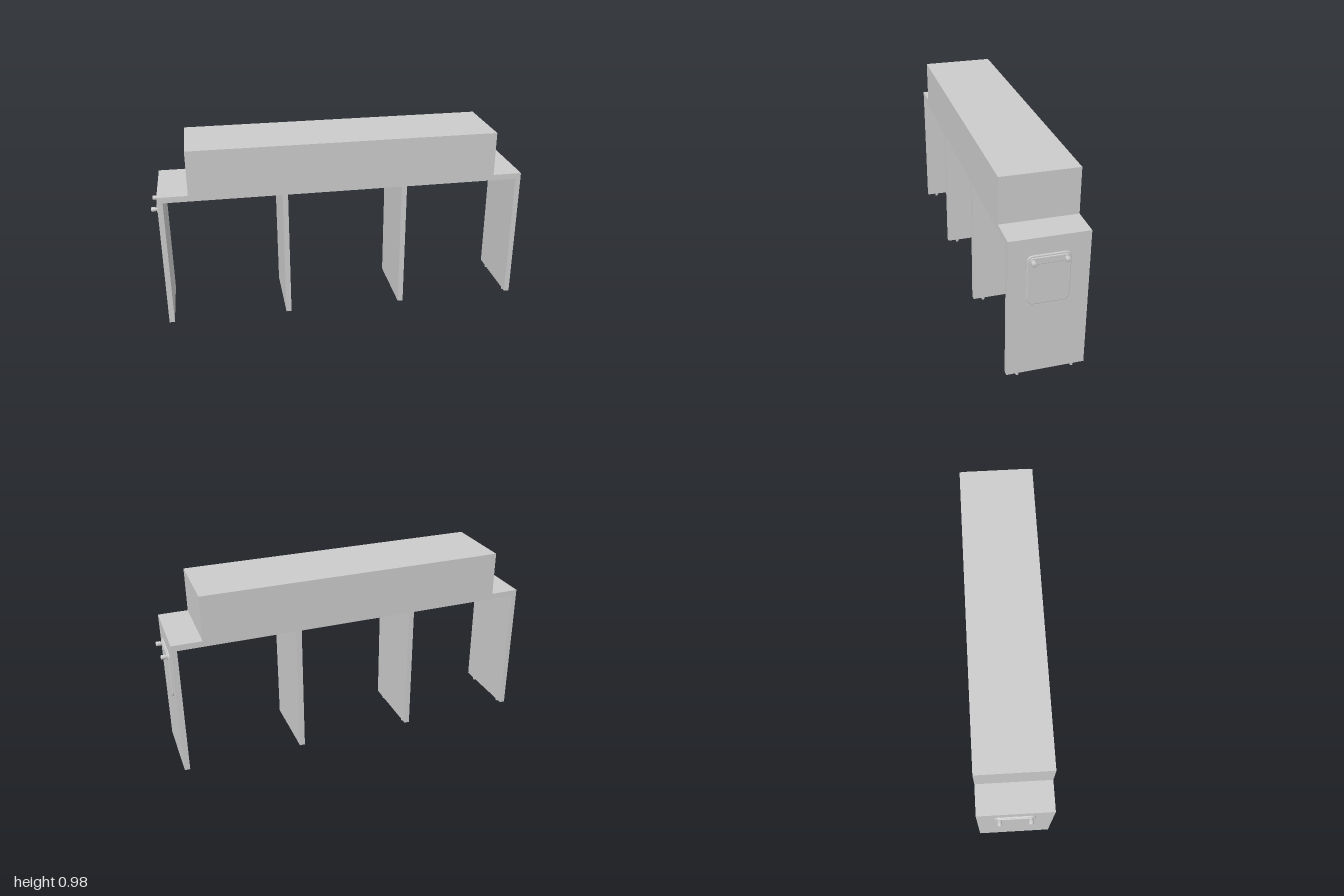
import * as THREE from 'three';

const material = new THREE.MeshStandardMaterial({ color: 0xcccccc });

function add(parent, name, geometry, x, y, z) {
  const mesh = new THREE.Mesh(geometry, material);
  mesh.name = name;
  mesh.position.set(x, y, z);
  parent.add(mesh);
  return mesh;
}

// Rounded outline centred on the origin, with separate top and bottom radii
function roundedShape(w, h, top, bottom) {
  const s = new THREE.Shape();
  const x = w / 2, y = h / 2;
  s.moveTo(-x + bottom, -y);
  s.lineTo(x - bottom, -y);
  s.quadraticCurveTo(x, -y, x, -y + bottom);
  s.lineTo(x, y - top);
  s.quadraticCurveTo(x, y, x - top, y);
  s.lineTo(-x + top, y);
  s.quadraticCurveTo(-x, y, -x, y - top);
  s.lineTo(-x, -y + bottom);
  s.quadraticCurveTo(-x, -y, -x + bottom, -y);
  return s;
}

// Thin bevelled plate whose outside faces +x
function plate(w, h, depth, bevel, top, bottom) {
  const shape = roundedShape(w - 2 * bevel, h - 2 * bevel, top, bottom);
  return new THREE.ExtrudeGeometry(shape, {
    depth: depth - bevel, bevelThickness: bevel, bevelSize: bevel, bevelSegments: 2, curveSegments: 8,
  }).rotateY(Math.PI / 2);
}

// End plate with its hook rail and two pegs
function createHanger() {
  const hanger = new THREE.Group();
  add(hanger, 'hangerPlate', plate(0.207, 0.257, 0.007, 0.004, 0.026, 0.034), 0.96, 0.5315, 0.002);
  add(hanger, 'hookRail', plate(0.184, 0.036, 0.006, 0.003, 0.015, 0.015), 0.966, 0.633, 0.002);
  const profile = [[0, 0], [0.009, 0], [0.009, 0.015], [0.012, 0.018], [0.012, 0.037], [0.009, 0.04], [0, 0.04]]
    .map(([r, y]) => new THREE.Vector2(r, y));
  for (const z of [-0.076, 0.08]) {
    const peg = new THREE.LatheGeometry(profile, 20).rotateZ(-Math.PI / 2);
    add(hanger, 'hookPeg', peg, 0.96, 0.634, z);
  }
  return hanger;
}

export function createModel() {
  const model = new THREE.Group();
  model.name = 'shelfUnit';
  const depth = 0.386;

  // Upper box and the slab below it
  add(model, 'upperBox', new THREE.BoxGeometry(1.61, 0.235, depth), 0, 0.8625, 0);
  add(model, 'topSlab', new THREE.BoxGeometry(1.92, 0.031, depth), 0, 0.7295, 0);

  // Four upright panels, each on two small feet
  for (const x of [-0.946, -0.315, 0.315, 0.946]) {
    add(model, 'uprightPanel', new THREE.BoxGeometry(0.028, 0.696, depth), x, 0.366, 0);
    for (const z of [-0.136, 0.136]) {
      add(model, 'foot', new THREE.CylinderGeometry(0.009, 0.008, 0.018, 16), x, 0.009, z);
    }
  }

  // A hanger on each end, the second turned to face the other way
  for (const side of [1, -1]) {
    const hanger = createHanger();
    hanger.name = side > 0 ? 'leftHanger' : 'rightHanger';
    if (side < 0) hanger.rotation.y = Math.PI;
    model.add(hanger);
  }
  return model;
}
